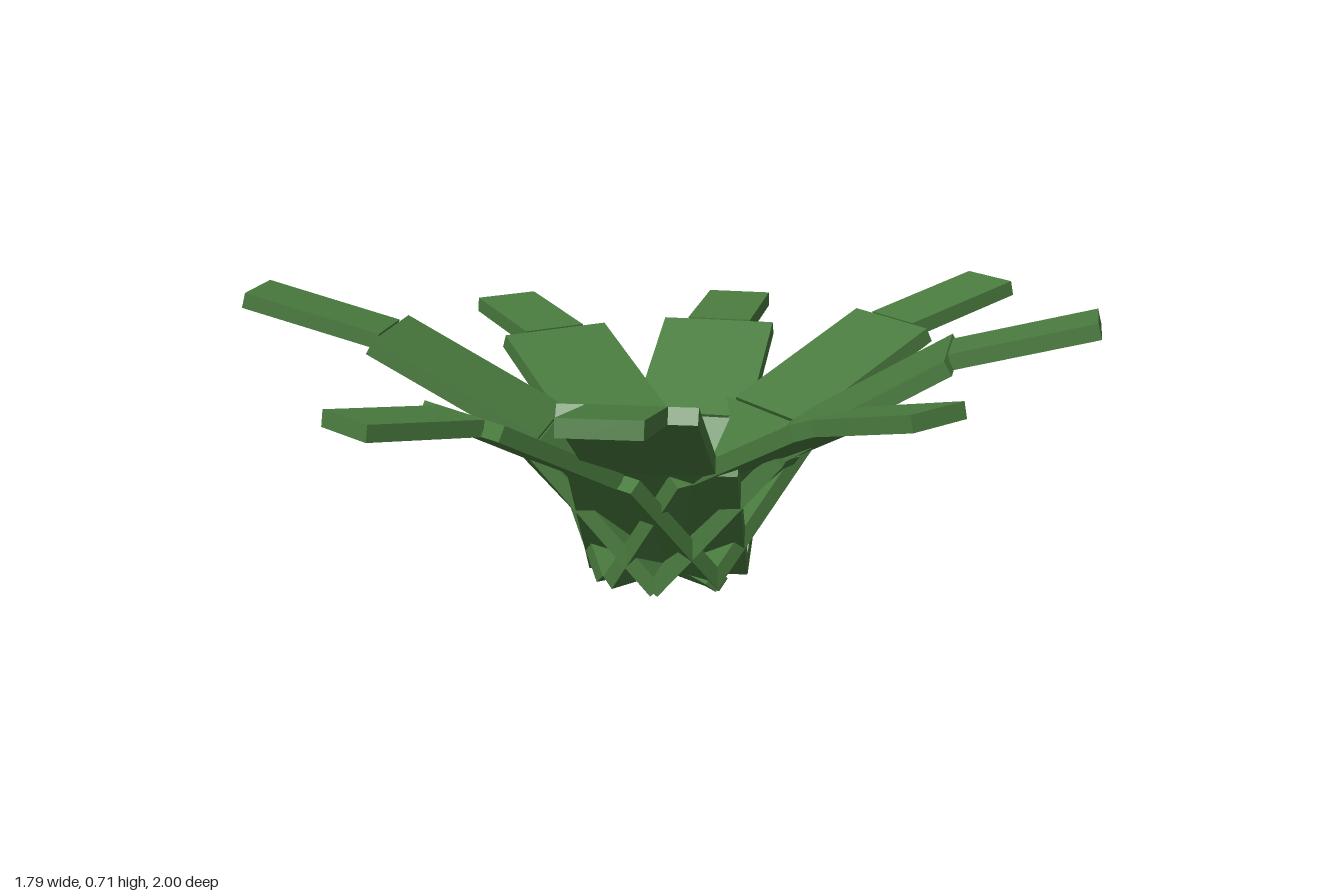
import * as THREE from 'three';

// Each leaf: direction (x, z), then [radius, height] at the two bends and the tip
const LEAVES = [
  { dir: [0.03, 0.95], bends: [[0.29, 0.33], [0.64, 0.515], [0.95, 0.56]] },
  { dir: [0.715, 0.78], bends: [[0.3, 0.365], [0.7, 0.6], [1.06, 0.665]] },
  { dir: [0.885, -0.02], bends: [[0.25, 0.335], [0.59, 0.515], [0.885, 0.585]] },
  { dir: [0.83, -0.64], bends: [[0.31, 0.37], [0.705, 0.605], [1.05, 0.695]] },
  { dir: [0.17, -1.025], bends: [[0.31, 0.37], [0.705, 0.57], [1.04, 0.65]] },
  { dir: [-0.57, -0.76], bends: [[0.28, 0.33], [0.645, 0.51], [0.95, 0.53]] },
  { dir: [-0.88, -0.13], bends: [[0.26, 0.335], [0.6, 0.51], [0.89, 0.555]] },
  { dir: [-0.81, 0.705], bends: [[0.31, 0.37], [0.725, 0.6], [1.07, 0.695]] },
];
const PARTS = ['leafBase', 'leafBlade', 'leafTip'];
const WIDTHS = [0.41, 0.31, 0.178];
const THICKNESS = 0.04;

export function createModel() {
  const plant = new THREE.Group();
  plant.name = 'plant';
  plant.position.z = 0.04;

  const green = new THREE.MeshStandardMaterial({ color: 0x4a7c3f });
  green.name = 'leaf green';

  for (const { dir, bends } of LEAVES) {
    const leaf = new THREE.Group();
    leaf.name = 'leaf';
    leaf.rotation.y = Math.atan2(dir[0], dir[1]);

    // Three flat slabs, each narrower and less steep than the last
    let [r0, y0] = [0, 0.014];
    bends.forEach(([r1, y1], i) => {
      const length = Math.hypot(r1 - r0, y1 - y0);
      const slab = new THREE.Mesh(new THREE.BoxGeometry(WIDTHS[i], THICKNESS, length), green);
      slab.name = PARTS[i];
      slab.position.set(0, (y0 + y1) / 2, (r0 + r1) / 2);
      slab.rotation.x = -Math.atan2(y1 - y0, r1 - r0);
      leaf.add(slab);
      [r0, y0] = [r1, y1];
    });
    plant.add(leaf);
  }

  const model = new THREE.Group();
  model.name = 'leafyPlant';
  model.add(plant);
  return model;
}
